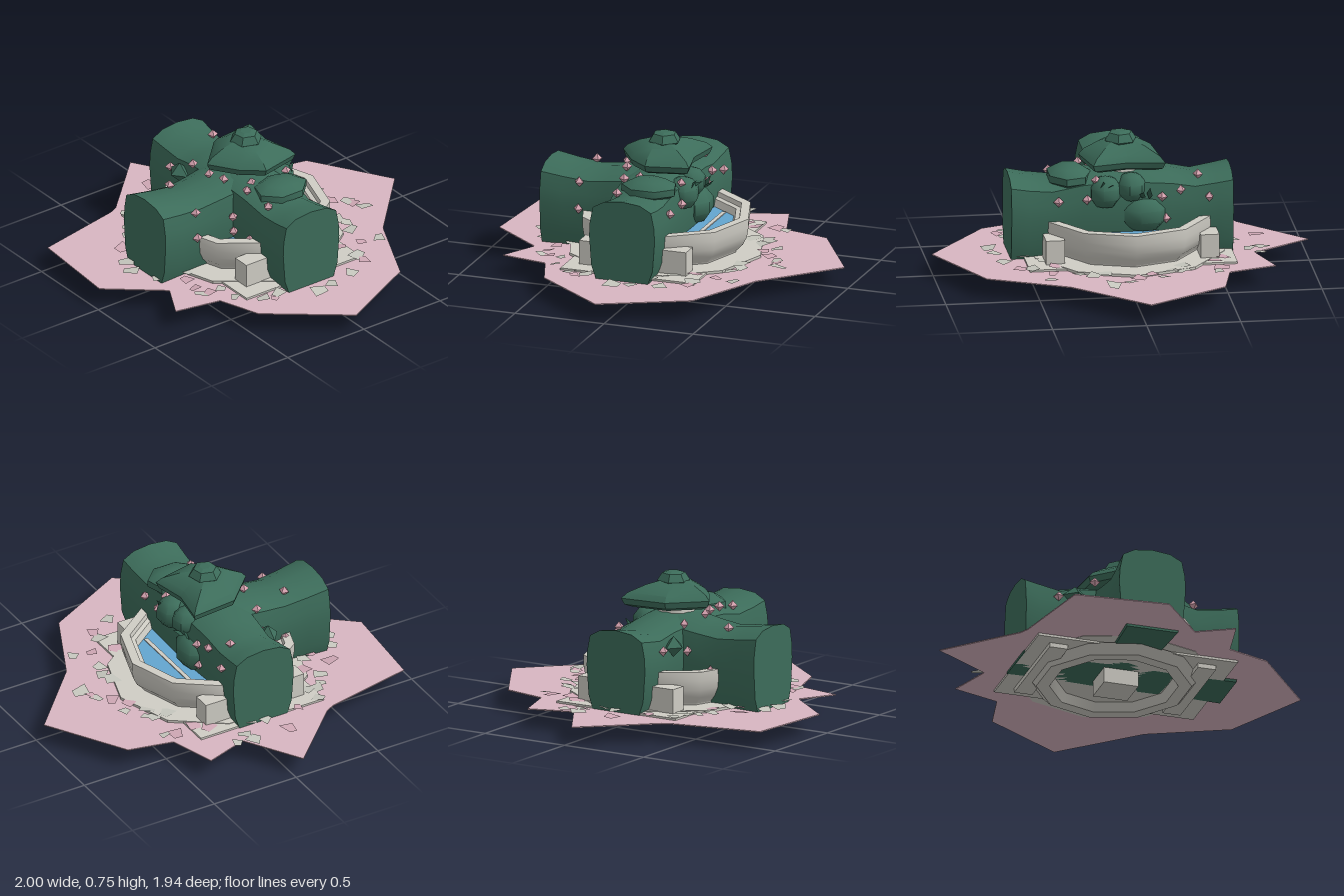
import * as THREE from 'three';
import { toCreasedNormals } from 'three/addons/utils/BufferGeometryUtils.js';

const mat = (name, color, side = THREE.FrontSide) => {
  const m = new THREE.MeshStandardMaterial({ color, side });
  m.name = name;
  return m;
};

// Skin over a stack of equal rings (counter-clockwise seen from the last ring), capped both ends
function loft(rings, crease = 0.6) {
  const pos = [], n = rings[0].length;
  const tri = (...p) => p.forEach(v => pos.push(...v));
  for (let i = 0; i < rings.length - 1; i++) {
    for (let j = 0; j < n; j++) {
      const k = (j + 1) % n, [a, b] = [rings[i], rings[i + 1]];
      tri(a[j], a[k], b[k]);
      tri(a[j], b[k], b[j]);
    }
  }
  const first = rings[0], last = rings[rings.length - 1];
  for (let j = 1; j < n - 1; j++) {
    tri(last[0], last[j], last[j + 1]);
    tri(first[0], first[j + 1], first[j]);
  }
  const g = new THREE.BufferGeometry();
  g.setAttribute('position', new THREE.Float32BufferAttribute(pos, 3));
  return toCreasedNormals(g, crease);
}

export function createModel() {
  const root = new THREE.Group();
  root.name = 'overgrownFountain';
  const green = mat('hedge green', 0x3c6c5a);
  const leafGreen = mat('leaf green', 0x2f5a4a, THREE.DoubleSide);
  const stone = mat('stone', 0xcfcdc5);
  const chip = mat('stone chip', 0xc6c7be, THREE.DoubleSide);
  const ground = mat('blossom ground', 0xd8b5c1);
  const petal = mat('petal pink', 0xd0a9b6, THREE.DoubleSide);
  const bud = mat('bud pink', 0xd7a3b0);
  const water = mat('water blue', 0x63a5cf);

  const add = (name, geo, material, x = 0, y = 0, z = 0, parent = root) => {
    const m = new THREE.Mesh(geo, material);
    m.name = name;
    m.position.set(x, y, z);
    parent.add(m);
    return m;
  };
  let seed = 7;
  const rand = () => (seed = (seed * 16807) % 2147483647) / 2147483647;
  const CX = -0.028, CZ = 0.03;

  // Jagged carpet of blossom
  const outline = [[-0.03, -0.97], [0.35, -0.61], [0.77, -0.41], [1, 0.05], [0.68, 0.455], [0.45, 0.535],
    [0.4, 0.79], [0.205, 0.685], [-0.03, 0.97], [-0.54, 0.93], [-0.64, 0.44], [-0.665, 0.39],
    [-1, 0.045], [-0.69, -0.145], [-0.77, -0.385], [-0.515, -0.465], [-0.46, -0.71]];
  const carpet = new THREE.Shape(outline.map(([x, z]) => new THREE.Vector2(x, -z)));
  const carpetGeo = new THREE.ExtrudeGeometry(carpet, { depth: 0.006, bevelEnabled: false });
  carpetGeo.rotateX(-Math.PI / 2);
  add('groundCarpet', carpetGeo, ground, 0, 0.098, 0);

  // Square and round paving under the basin
  add('squarePaving', new THREE.BoxGeometry(1.105, 0.03, 0.75), stone, -0.022, 0.1, 0.045);
  add('roundPaving', toCreasedNormals(new THREE.CylinderGeometry(0.53, 0.53, 0.022, 10), 0.2), stone, CX, 0.107, CZ);

  // Ten-sided basin: underside, bulging wall, rim and inner wall
  const profile = [[0, 0.085], [0.31, 0.085], [0.34, 0.04], [0.41, 0.04], [0.46, 0.09], [0.385, 0.1], [0.39, 0.125],
    [0.43, 0.165], [0.452, 0.21], [0.46, 0.26], [0.46, 0.31], [0.41, 0.31], [0.405, 0.285],
    [0.38, 0.28], [0.36, 0.22], [0, 0.22]].map(p => new THREE.Vector2(...p));
  add('basin', toCreasedNormals(new THREE.LatheGeometry(profile, 10), 0.68), stone, CX, 0, CZ);
  add('drainBox', new THREE.BoxGeometry(0.19, 0.09, 0.19), stone, -0.026, 0.045, 0.053);
  add('waterSurface', new THREE.CylinderGeometry(0.367, 0.36, 0.02, 10), water, CX, 0.232, CZ);
  for (const z of [-0.2, 0.29]) add('waterLine', new THREE.BoxGeometry(0.5, 0.006, 0.022), stone, CX, 0.244, z);
  for (const s of [-1, 1]) {
    add('sidePlinth', new THREE.BoxGeometry(0.1, 0.185, 0.6), stone, CX + s * 0.411, 0.153, 0.05);
    add('plinthFoot', new THREE.BoxGeometry(0.05, 0.03, 0.16), stone, CX + s * 0.475, 0.125, 0.05);
  }
  add('centrePillar', new THREE.CylinderGeometry(0.1, 0.12, 0.36, 10), stone, 0, 0.4, 0.05);

  // Hedge arms: one rounded section swept along stations [distance, width, height]
  const half = [[0.14, 0], [0.172, 0.2], [0.184, 0.55], [0.18, 0.72], [0.163, 0.9], [0.1, 0.975]];
  const section = [...half, [0, 1], ...half.map(([x, y]) => [-x, y]).reverse()];
  const hedge = stations => loft(stations.map(([t, w, h]) =>
    section.map(([x, y]) => [x * w, 0.085 + y * h, t])));
  const cross = add('sideHedges', hedge([[-0.58, 1, 0.46], [-0.5, 0.97, 0.445], [-0.38, 0.92, 0.425], [-0.26, 0.95, 0.45],
    [-0.12, 1, 0.465], [0.05, 1, 0.475], [0.22, 0.97, 0.46], [0.38, 0.92, 0.425], [0.5, 0.97, 0.44], [0.6, 1, 0.46]]),
  green, 0, 0, 0.048);
  cross.rotation.y = Math.PI / 2;
  add('frontHedge', hedge([[0.02, 1, 0.47], [0.15, 1, 0.465], [0.3, 0.93, 0.44], [0.42, 0.9, 0.425],
    [0.55, 0.95, 0.44], [0.675, 1, 0.46]]), green, -0.026, 0, 0);

  // Crown floating over the crossing, with a small knob on top
  const plan = [[0.22, 0.06], [0.17, -0.17], [-0.02, -0.13], [-0.215, -0.16], [-0.19, 0.1], [-0.02, 0.27], [0.13, 0.17]];
  const ring = (s, y) => plan.map(([x, z]) => [x * s, y, 0.05 + (z - 0.05) * s]);
  add('hedgeCrown', loft([ring(0.78, 0.572), ring(0.94, 0.588), ring(1, 0.622), ring(0.88, 0.652), ring(0.55, 0.69),
    ring(0.3, 0.708)], 0.45), green);
  const knob = (s, y) => [0.2, 1.3, 2.3, 3.4, 4.4, 5.4].map(a => [Math.cos(a) * s, y, 0.03 - Math.sin(a) * s]);
  add('crownKnob', loft([knob(0.07, 0.69), knob(0.088, 0.705), knob(0.062, 0.745), knob(0.03, 0.754)], 0.3), green);

  // Side bushes [x, y, z, radii]
  const bushes = [[0.28, 0.525, 0.01, 0.125, 0.06, 0.16], [-0.11, 0.33, -0.1, 0.13, 0.1, 0.1],
    [0.1, 0.46, -0.11, 0.09, 0.09, 0.09], [-0.04, 0.48, -0.1, 0.08, 0.08, 0.09]];
  for (const [x, y, z, ...r] of bushes) {
    const g = new THREE.SphereGeometry(1, 7, 5);
    g.scale(...r);
    add('sideBush', toCreasedNormals(g, 0.9), green, x, y, z);
  }
  add('frontTuft', new THREE.OctahedronGeometry(0.07), green, -0.31, 0.43, 0.235).scale.set(1, 0.8, 0.8);

  // Pointed leaves on the back
  const leafShape = new THREE.Shape([[0, 0], [0.018, 0.035], [0, 0.085], [-0.018, 0.035]].map(p => new THREE.Vector2(...p)));
  const leafGeo = new THREE.ShapeGeometry(leafShape);
  for (const [x, y, z, tilt] of [[-0.13, 0.42, -0.14, -0.5], [-0.09, 0.43, -0.15, -0.9], [-0.1, 0.35, -0.17, 2.6],
    [0.08, 0.49, -0.14, -1.1], [0.12, 0.48, -0.14, -0.7]]) {
    add('leaf', leafGeo, leafGreen, x, y, z).rotation.set(tilt, x * 5, 0);
  }

  // Flower buds dotted over the hedges
  const budGeo = new THREE.OctahedronGeometry(0.028);
  const buds = [[-0.4, 0.42, 0.23], [-0.4, 0.52, -0.05], [-0.215, 0.39, 0.26], [-0.11, 0.52, 0.45], [0.135, 0.465, 0.46],
    [0.15, 0.32, 0.46], [0.18, 0.39, 0.25], [0.18, 0.3, 0.245], [0.37, 0.51, 0.16], [0.21, 0.54, 0.18], [0.155, 0.54, 0.11],
    [-0.03, 0.555, 0.25], [0.06, 0.555, 0.22], [-0.2, 0.53, 0.23], [0.15, 0.53, -0.12], [0.2, 0.43, -0.14],
    [-0.2, 0.43, -0.135], [-0.22, 0.31, -0.135], [-0.3, 0.46, -0.125], [-0.45, 0.42, -0.135], [0.35, 0.42, -0.13],
    [-0.21, 0.3, 0.4], [0.3, 0.3, 0.23]];
  for (const [x, y, z] of buds) add('flowerBud', budGeo, bud, x, y, z).rotation.y = x * 9;

  // Loose chips and petals scattered around the paving
  const flake = new THREE.ShapeGeometry(new THREE.Shape(
    [[-0.018, -0.03], [0.016, -0.032], [0.032, 0.026], [-0.03, 0.032]].map(p => new THREE.Vector2(...p))));
  flake.rotateX(-Math.PI / 2);
  for (let i = 0; i < 64; i++) {
    const a = i * 2.399963, r = 0.46 + rand() * 0.27;
    const pink = i % 3 === 0;
    const m = add(pink ? 'petal' : 'stoneChip', flake, pink ? petal : chip,
      CX + Math.cos(a) * r, 0.121, CZ + Math.sin(a) * r);
    m.rotation.set((rand() - 0.5) * 0.35, rand() * 6.28, (rand() - 0.5) * 0.35);
    m.scale.setScalar(0.8 + rand() * 0.6);
  }
  return root;
}
